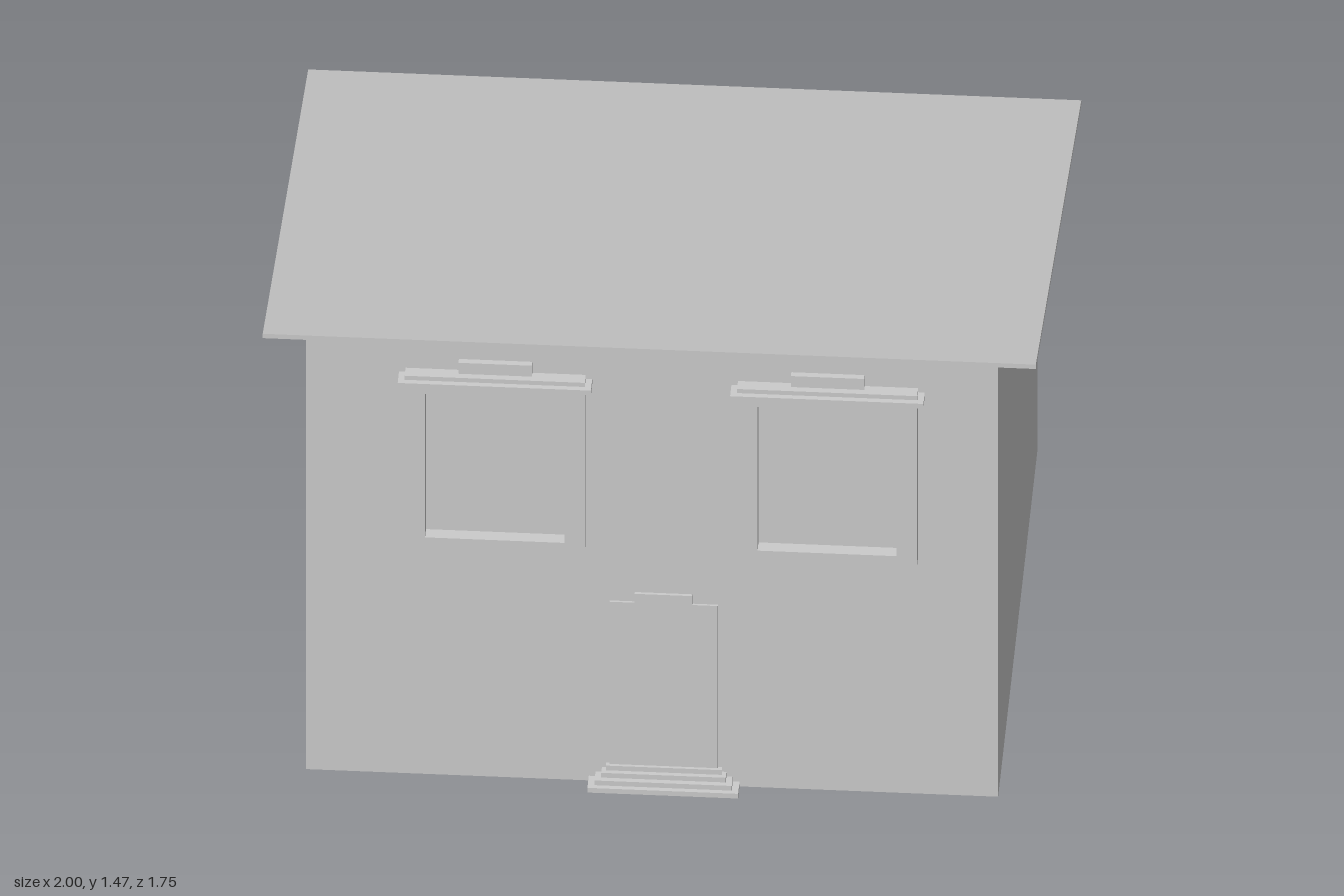
import * as THREE from 'three';

const grey = new THREE.MeshStandardMaterial({ color: 0xcccccc, flatShading: true });
const WALL = 0.762; // front wall plane

function add(parent, name, geometry) {
  const mesh = new THREE.Mesh(geometry, grey);
  mesh.name = name;
  parent.add(mesh);
  return mesh;
}

// Box standing on the front wall: centre x, full width, y range, front z
function onWall(parent, name, cx, width, y0, y1, front) {
  const depth = front - WALL;
  const mesh = add(parent, name, new THREE.BoxGeometry(width, y1 - y0, depth));
  mesh.position.set(cx, (y0 + y1) / 2, WALL + depth / 2);
}

// Side profile of [z, y] points swept across x
function sweep(points, width) {
  const shape = new THREE.Shape(points.map(([z, y]) => new THREE.Vector2(-z, y)));
  const geometry = new THREE.ExtrudeGeometry(shape, { depth: width, bevelEnabled: false });
  return geometry.translate(0, 0, -width / 2).rotateY(Math.PI / 2);
}

function createWindow(cx) {
  const group = new THREE.Group();
  group.name = 'window';

  // Frame with open pane
  const frame = new THREE.Shape();
  frame.moveTo(-0.233, 0.76).lineTo(0.233, 0.76).lineTo(0.233, 1.275).lineTo(-0.233, 1.275).closePath();
  const hole = new THREE.Path();
  hole.moveTo(-0.18, 0.785).lineTo(-0.18, 1.245).lineTo(0.18, 1.245).lineTo(0.18, 0.785).closePath();
  frame.holes.push(hole);
  const geometry = new THREE.ExtrudeGeometry(frame, { depth: 0.036, bevelEnabled: false });
  add(group, 'windowFrame', geometry.translate(0, 0, WALL));

  // Stepped head moulding
  onWall(group, 'windowCornice', 0, 0.5, 1.272, 1.287, 0.812);
  onWall(group, 'windowHead', 0, 0.466, 1.287, 1.3, 0.797);
  onWall(group, 'windowCrest', 0, 0.19, 1.287, 1.335, 0.779);
  group.position.x = cx;
  return group;
}

export function createModel() {
  const model = new THREE.Group();
  model.name = 'shed';

  // Wedge-shaped body and overhanging slab roof
  add(model, 'walls', sweep([[WALL, 0], [WALL, 1.432], [-0.757, 1.05], [-0.757, 0]], 1.79));
  add(model, 'roof', sweep([[0.875, 1.46], [0.875, 1.474], [-0.875, 1.034], [-0.875, 1.02]], 2));

  for (const x of [-0.405, 0.455]) model.add(createWindow(x));

  // Shallow door with raised lintel
  const door = new THREE.Group();
  door.name = 'door';
  onWall(door, 'doorPanel', 0.03, 0.28, 0, 0.58, 0.768);
  onWall(door, 'doorLintel', 0.03, 0.15, 0.575, 0.61, 0.77);
  model.add(door);

  // Door steps, largest at the bottom
  const steps = new THREE.Group();
  steps.name = 'steps';
  const sizes = [[0.39, 0.815], [0.355, 0.802], [0.322, 0.788], [0.3, 0.776]];
  sizes.forEach(([width, front], i) =>
    onWall(steps, 'step', 0.031, width, i * 0.015, (i + 1) * 0.015, front));
  model.add(steps);

  return model;
}
